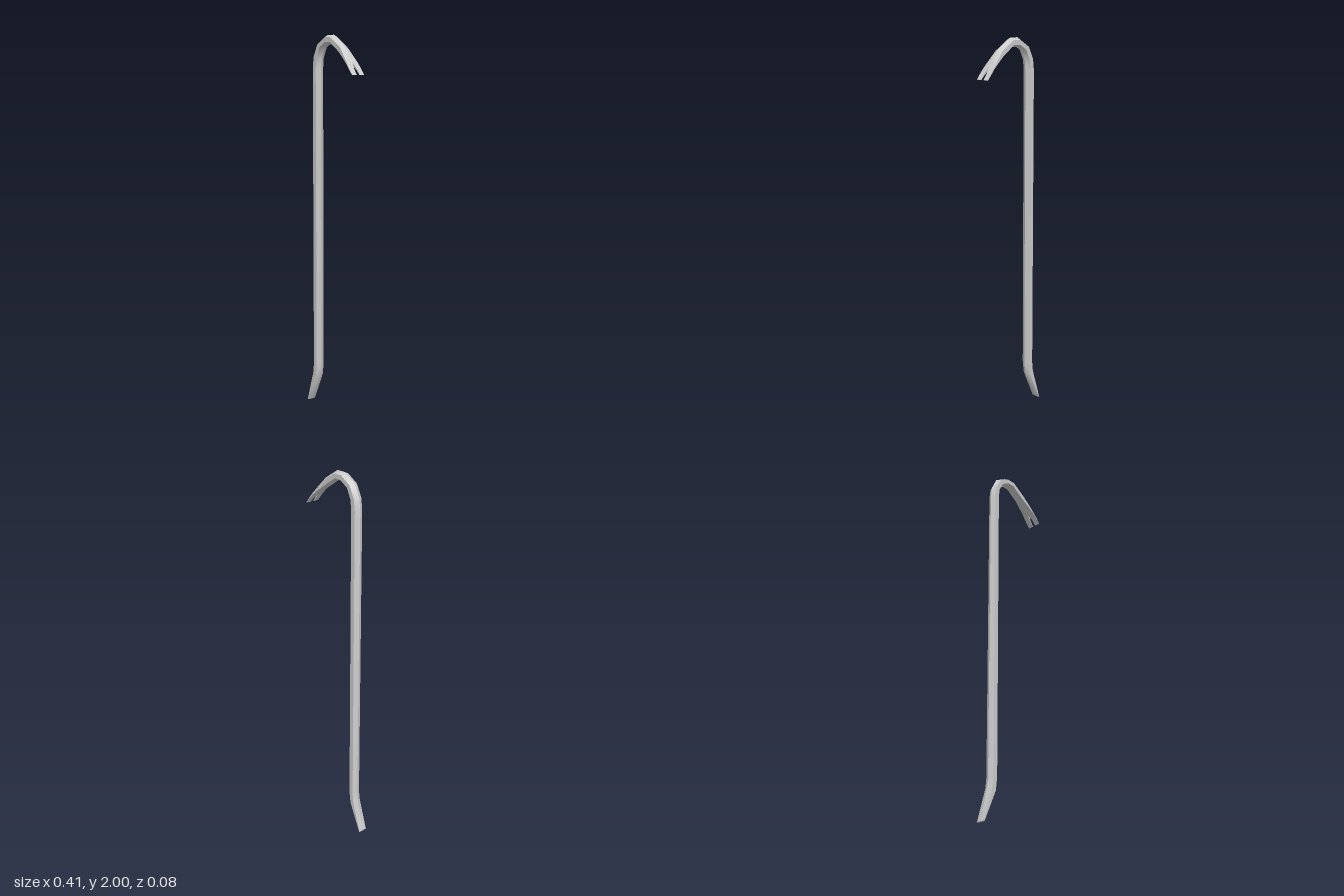
import * as THREE from 'three';
import { toCreasedNormals } from 'three/addons/utils/BufferGeometryUtils.js';

// Stations along the bar: outer ridge x, y, inner ridge x, y, half width, half slot
const stations = [
  // chisel end
  [-0.204, 0.004, -0.2, 0, 0.024, 0],
  [-0.16, 0.185, -0.115, 0.155, 0.024, 0],
  [-0.156, 0.23, -0.105, 0.23, 0.024, 0],
  // shaft and hook
  [-0.156, 1.83, -0.105, 1.83, 0.024, 0],
  [-0.148, 1.89, -0.1, 1.88, 0.024, 0],
  [-0.114, 1.957, -0.077, 1.927, 0.024, 0],
  [-0.045, 1.998, -0.037, 1.95, 0.024, 0],
  [0.008, 1.998, 0, 1.95, 0.024, 0],
  [0.093, 1.945, 0.07, 1.903, 0.024, 0],
  // forked claw
  [0.135, 1.892, 0.12, 1.872, 0.031, 0],
  [0.16, 1.86, 0.153, 1.848, 0.035, 0],
  [0.183, 1.829, 0.179, 1.823, 0.038, 0.009],
  [0.204, 1.801, 0.202, 1.799, 0.038, 0.009],
];

// Half of a hexagonal section, on one side of the middle plane
function halfSection([ox, oy, ix, iy, w, s], side) {
  const at = (t, z) => [ox + (ix - ox) * t, oy + (iy - oy) * t, z * side];
  return [at(0, s), at(0.25, w), at(0.75, w), at(1, s)];
}

function barGeometry() {
  const pos = [];
  for (const side of [1, -1]) {
    const quad = (a, b, c, d) => {
      const q = side > 0 ? [a, b, c, a, c, d] : [a, c, b, a, d, c];
      q.forEach((p) => pos.push(...p));
    };
    const rings = stations.map((st) => halfSection(st, side));
    for (let i = 0; i < rings.length - 1; i++) {
      const a = rings[i], b = rings[i + 1];
      for (let j = 0; j < 3; j++) quad(a[j], a[j + 1], b[j + 1], b[j]);
      // inner wall of the slot
      if (stations[i + 1][5] > 0) quad(a[3], a[0], b[0], b[3]);
    }
    // end caps
    quad(...[...rings[0]].reverse());
    quad(...rings[rings.length - 1]);
  }
  const geo = new THREE.BufferGeometry();
  geo.setAttribute('position', new THREE.Float32BufferAttribute(pos, 3));
  return toCreasedNormals(geo, 0.6);
}

export function createModel() {
  const group = new THREE.Group();
  group.name = 'crowbar';
  const bar = new THREE.Mesh(barGeometry(), new THREE.MeshStandardMaterial({ color: 0xcccccc }));
  bar.name = 'bar';
  group.add(bar);
  return group;
}
